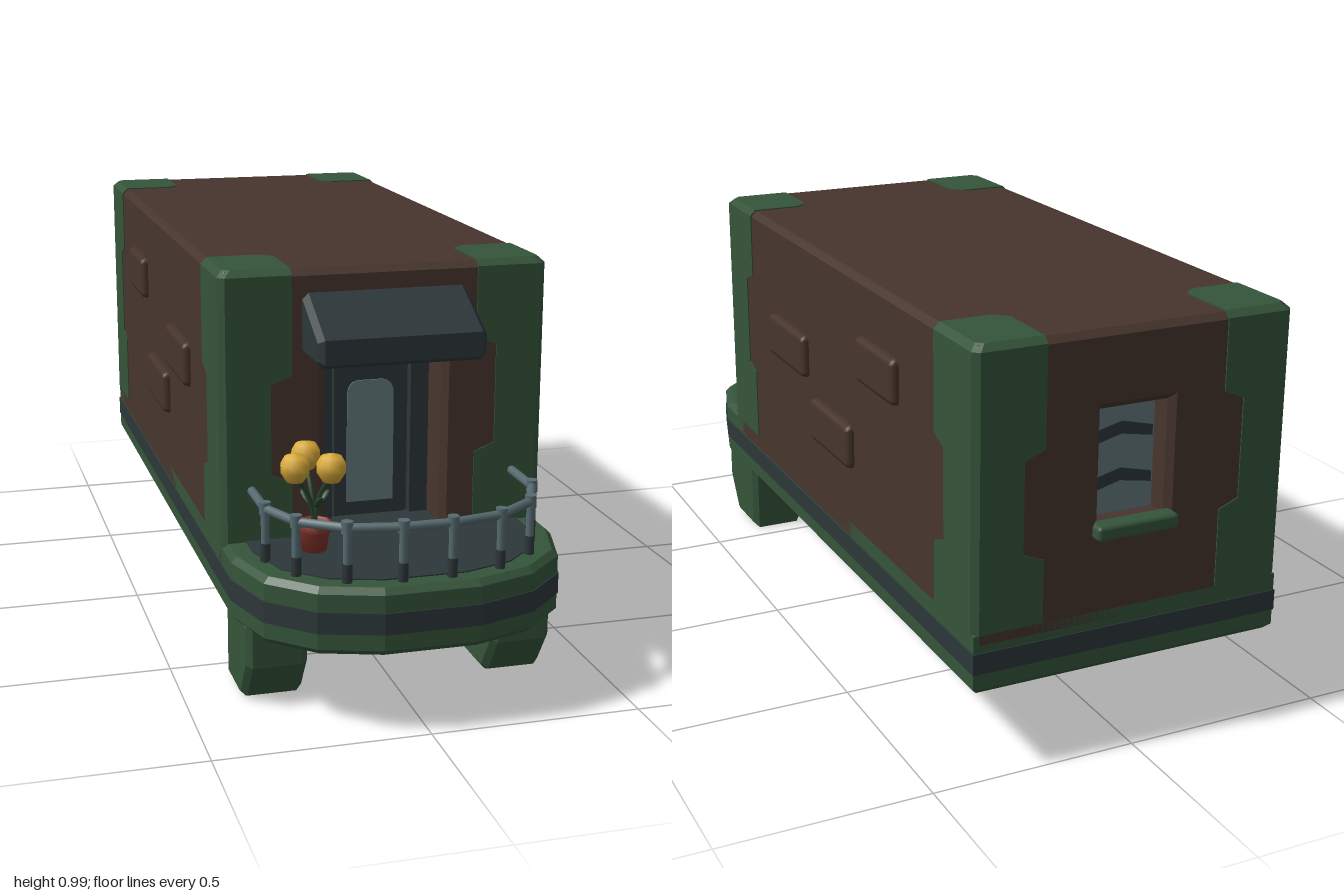
import * as THREE from 'three';
import { RoundedBoxGeometry } from 'three/addons/geometries/RoundedBoxGeometry.js';

const paint = (name, color) => Object.assign(new THREE.MeshStandardMaterial({ color }), { name });

export function createModel() {
  const model = new THREE.Group();
  const green = paint('hull green', 0x35543a);
  const brown = paint('wall brown', 0x47352d);
  const dark = paint('dark trim', 0x2d3739);
  const glass = paint('glass', 0x64797d);
  const steel = paint('railing steel', 0x566b70);
  const yellow = paint('petal yellow', 0xd9aa3a);
  const clay = paint('pot clay', 0x84322a);
  const leaf = paint('stem green', 0x29452b);

  const add = (name, geo, mat, parent = model) => {
    const m = new THREE.Mesh(geo, mat);
    m.name = name;
    parent.add(m);
    return m;
  };
  const group = (name) => {
    const g = new THREE.Group();
    g.name = name;
    model.add(g);
    return g;
  };
  const box = (name, mat, x0, x1, y0, y1, z0, z1, r = 0, parent = model) => {
    const s = [x1 - x0, y1 - y0, z1 - z0];
    const geo = r ? new RoundedBoxGeometry(...s, 1, r) : new THREE.BoxGeometry(...s);
    geo.translate((x0 + x1) / 2, (y0 + y1) / 2, (z0 + z1) / 2);
    return add(name, geo, mat, parent);
  };
  const poly = (pts) => new THREE.Shape(pts.map(([x, y]) => new THREE.Vector2(x, y)));
  // Extrusion from z0 to z1 whose ends are chamfered inwards by b
  const slab = (shape, z0, z1, b = 0) => new THREE.ExtrudeGeometry(shape, {
    depth: z1 - z0 - 2 * b, bevelEnabled: b > 0, bevelThickness: b, bevelSize: b,
    bevelOffset: -b, bevelSegments: 1, curveSegments: 6,
  }).translate(0, 0, z0 + b);
  // Plan shape (x, z) raised from y0 to y1
  const deck = (pts, y0, y1, b) => slab(poly(pts), -y1, -y0, b).rotateX(Math.PI / 2);
  // Side profile (z, y) stretched from x = -x1 to -x0
  const side = (pts, x0, x1, b) => slab(poly(pts), x0, x1, b).rotateY(-Math.PI / 2);

  // Hull with a faceted bow
  const bow = [[0.39, 0.71], [0.348, 0.857], [0.25, 0.95], [0.11, 0.996]];
  const bowArc = [...bow, ...bow.map(([x, z]) => [-x, z]).reverse()];
  const outline = [[0.39, -0.97], ...bowArc, [-0.39, -0.97]];
  add('hull', deck(outline, 0.195, 0.352, 0.014), green);
  add('hullStripe', deck(outline.map(([x, z]) => [x * 1.006, z * 1.003]), 0.247, 0.297), dark);
  add('hullUnderside', deck(outline.map(([x, z]) => [x * 0.88, z * 0.95]), 0.19, 0.2), dark);
  const floorArc = bowArc.map(([x, z]) => [x * 0.86, 0.6 + (z - 0.6) * 0.86]);
  add('balconyFloor', deck([[0.335, 0.6], ...floorArc, [-0.335, 0.6]], 0.347, 0.355), dark);
  box('doorstep', dark, -0.155, 0.155, 0.347, 0.355, 0.48, 0.61);

  // Feet under the bow
  const footProfile = [[0.555, 0.21], [0.555, 0], [0.695, 0], [0.715, 0.008], [0.775, 0.1], [0.775, 0.21]];
  add('leftFoot', side(footProfile, -0.37, -0.225, 0.014), green);
  add('rightFoot', side(footProfile, 0.225, 0.37, 0.014), green);

  // Cabin: a core with a pierced panel at each end, making the recesses
  const c = 0.015;
  const wall = (hole) => {
    const s = poly([[-0.39, 0.3], [0.39, 0.3], [0.39, 0.99 - c], [0.39 - c, 0.99], [c - 0.39, 0.99], [-0.39, 0.99 - c]]);
    if (hole) {
      const [w, y0, y1] = hole;
      s.holes.push(poly([[-w, y0], [-w, y1], [w, y1], [w, y0]]));
    }
    return s;
  };
  add('cabinCore', slab(wall(), -0.9, 0.49), brown);
  add('frontWall', slab(wall([0.143, 0.33, 0.785]), 0.46, 0.62, c), brown);
  add('backWall', slab(wall([0.085, 0.54, 0.81]), -0.97, -0.87, c), brown);

  // Green corner posts, narrower in the middle, wrapping onto the roof
  const cornerPost = (sx, sz, low, high) => {
    const e = 0.003, zEnd = sz > 0 ? 0.62 : -0.97;
    const levels = [[0.34, 0, 0], [low, 0, 0], [low + 0.02, 0.05, 0], [high - 0.02, 0.05, 0],
      [high, 0, 0], [0.978, 0, 0], [0.993, 0, c]];
    const rings = levels.map(([y, n, t]) => {
      const w = 0.17 - n, d = 0.2 - n;
      const r = [[t + c, t], [w, t], [w, d - 0.03], [w - 0.03, d], [t, d], [t, t + c]]
        .map(([u, v]) => [sx * (0.39 + e - u), y, zEnd + sz * (e - v)]);
      return sx * sz > 0 ? r : r.reverse();
    });
    const pos = [], tri = (...p) => p.forEach((q) => pos.push(...q));
    for (let k = 0; k < rings.length - 1; k++) {
      for (let i = 0; i < 6; i++) {
        const j = (i + 1) % 6, a = rings[k], b = rings[k + 1];
        tri(a[i], b[i], a[j]);
        tri(a[j], b[i], b[j]);
      }
    }
    const top = rings[rings.length - 1];
    for (let i = 1; i < 5; i++) tri(top[0], top[i + 1], top[i]);
    const geo = new THREE.BufferGeometry();
    geo.setAttribute('position', new THREE.Float32BufferAttribute(pos, 3));
    geo.computeVertexNormals();
    return geo;
  };
  for (const sx of [1, -1]) for (const sz of [1, -1]) {
    const range = sx * sz > 0 ? [0.53, 0.81] : [0.49, 0.745];
    add(`${sz > 0 ? 'front' : 'back'}${sx > 0 ? 'Left' : 'Right'}CornerPost`, cornerPost(sx, sz, ...range), green);
  }

  // Raised bricks on both sides
  const bricks = group('wallBricks');
  for (const s of [1, -1]) {
    for (const [z0, z1, y0] of [[0, 0.26, 0.637], [-0.3, -0.04, 0.49], [-0.58, -0.355, 0.74]]) {
      const x = s * 0.38;
      box('brick', brown, x - 0.03, x + 0.03, y0, y0 + 0.113, z0, z1, 0.016, bricks);
    }
  }

  // Door in the front recess
  const door = group('door');
  const frame = poly([[-0.143, 0.35], [0.143, 0.35], [0.143, 0.785], [-0.143, 0.785]]);
  frame.holes.push(poly([[-0.098, 0.34], [-0.098, 0.742], [0.098, 0.742], [0.098, 0.34]].map(([x, y]) => [x, Math.max(y, 0.352)])));
  add('doorFrame', slab(frame, 0.485, 0.515), dark, door);
  box('doorLeaf', dark, -0.093, 0.093, 0.352, 0.738, 0.48, 0.503, 0.006, door);
  const pane = new THREE.Shape();
  pane.moveTo(-0.058, 0.39).lineTo(0.058, 0.39).lineTo(0.058, 0.655)
    .quadraticCurveTo(0.058, 0.693, 0.025, 0.693).lineTo(-0.025, 0.693)
    .quadraticCurveTo(-0.058, 0.693, -0.058, 0.655);
  add('doorGlass', slab(pane, 0.5, 0.507), glass, door);

  // Awning over the door
  add('awning', side([[0.6, 0.79], [0.755, 0.79], [0.77, 0.8], [0.77, 0.857], [0.625, 0.936], [0.6, 0.936]], -0.198, 0.198, 0.014), dark);

  // Back window with streaks and sill
  const win = group('backWindow');
  box('windowGlass', glass, -0.085, 0.085, 0.54, 0.81, -0.905, -0.89, 0, win);
  for (const y of [0.6, 0.71]) {
    const streak = poly([[-0.08, y], [0, y + 0.015], [0.08, y - 0.005], [0.08, y + 0.025], [0, y + 0.045], [-0.08, y + 0.025]]);
    add('windowStreak', slab(streak, -0.908, -0.903), dark, win);
  }
  box('windowSill', green, -0.103, 0.103, 0.515, 0.552, -1, -0.95, 0.01, win);

  // Balcony railing
  const railing = group('railing');
  const half = [[0.32, 0.755], [0.275, 0.86], [0.178, 0.93], [0.057, 0.953]];
  const posts = [...half, ...half.map(([x, z]) => [-x, z]).reverse()];
  const path = new THREE.CurvePath();
  const railPts = [[0.32, 0.61], ...posts, [-0.32, 0.61]].map(([x, z]) => new THREE.Vector3(x, 0.477, z));
  for (let i = 1; i < railPts.length; i++) path.add(new THREE.LineCurve3(railPts[i - 1], railPts[i]));
  add('handRail', new THREE.TubeGeometry(path, 72, 0.011, 8), steel, railing);
  for (const [x, z] of posts) {
    add('railPost', new THREE.CylinderGeometry(0.01, 0.01, 0.13, 8), steel, railing).position.set(x, 0.417, z);
    add('railCollar', new THREE.CylinderGeometry(0.014, 0.014, 0.028, 8), steel, railing).position.set(x, 0.479, z);
    add('postSleeve', new THREE.CylinderGeometry(0.012, 0.012, 0.045, 8), dark, railing).position.set(x, 0.373, z);
  }

  // Potted flowers
  const plant = group('flowerPot');
  const turn = (pts, n) => new THREE.LatheGeometry(pts.map(([x, y]) => new THREE.Vector2(x, y)), n);
  add('pot', turn([[0, 0], [0.029, 0], [0.036, 0.05], [0.043, 0.05], [0.043, 0.07], [0.036, 0.07], [0.034, 0.06], [0, 0.06]], 12), clay, plant)
    .position.set(-0.195, 0.352, 0.715);
  const bloom = turn([[0, -0.03], [0.02, -0.029], [0.034, -0.006], [0.034, 0.012], [0.024, 0.03], [0, 0.036]], 12);
  for (const [x, y, z] of [[-0.247, 0.56, 0.742], [-0.168, 0.56, 0.762], [-0.203, 0.566, 0.668]]) {
    const stem = new THREE.QuadraticBezierCurve3(new THREE.Vector3(-0.195, 0.4, 0.715),
      new THREE.Vector3(-0.195, 0.49, 0.715), new THREE.Vector3(x, y - 0.02, z));
    add('stem', new THREE.TubeGeometry(stem, 8, 0.006, 6), leaf, plant);
    add('flowerHead', bloom, yellow, plant).position.set(x, y, z);
    const blade = add('leaf', new THREE.SphereGeometry(1, 8, 6), leaf, plant);
    blade.scale.set(0.01, 0.006, 0.024);
    blade.position.set(-0.195 - (x + 0.195) * 0.5, 0.475, 0.715 - (z - 0.715) * 0.5);
    blade.lookAt(-0.195, 0.45, 0.715);
  }
  return model;
}
